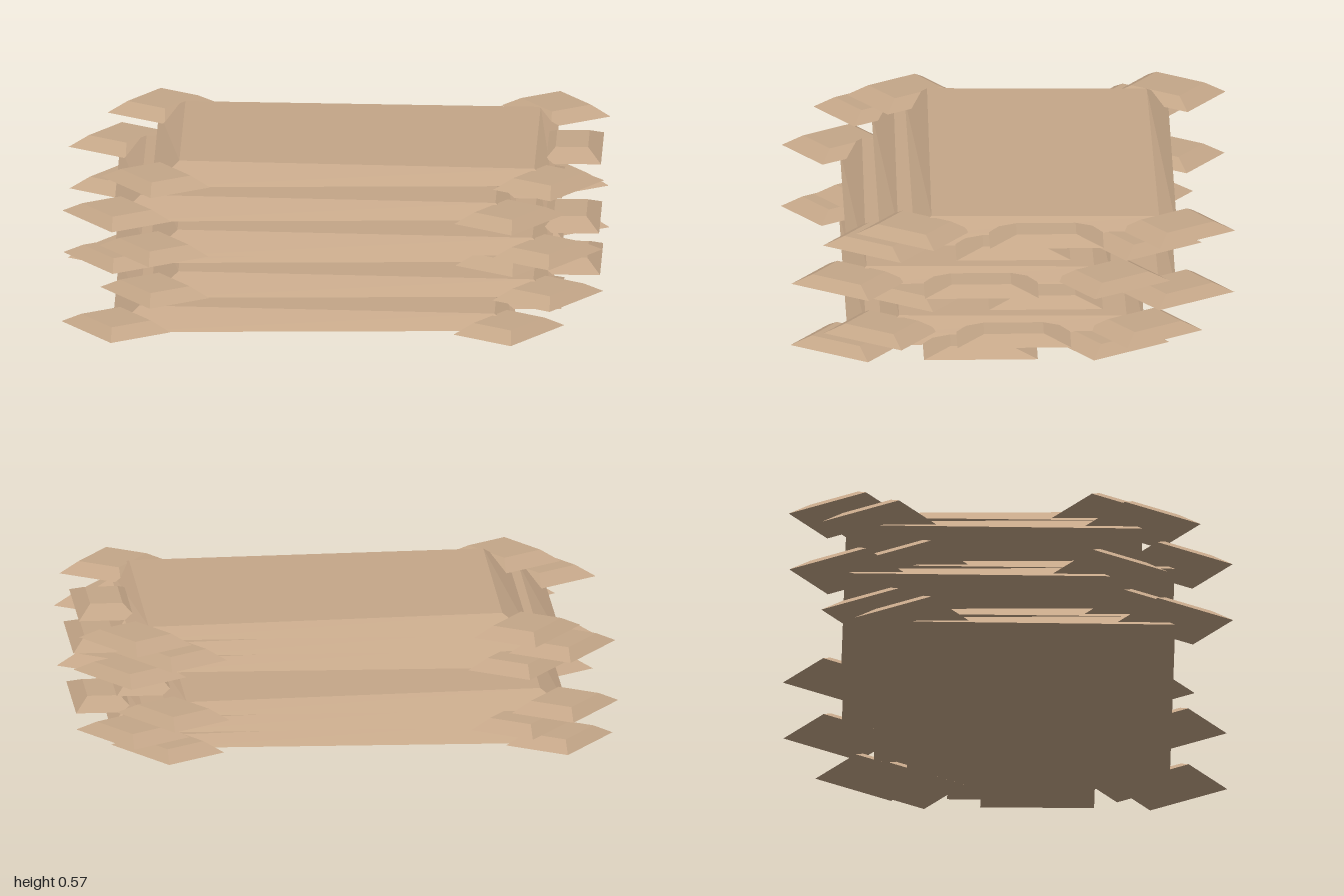
import * as THREE from 'three';

const hideTan = new THREE.MeshStandardMaterial({ color: 0xc4a688 });
hideTan.name = 'hideTan';

// Box with a narrower top; adjust(v, sx, sy, sz) may move each corner further.
function bevelSlab(name, w, h, d, insetX, insetZ, adjust) {
  let geo = new THREE.BoxGeometry(w, h, d);
  geo.translate(0, h / 2, 0);
  const p = geo.attributes.position;
  const v = new THREE.Vector3();
  for (let i = 0; i < p.count; i++) {
    v.fromBufferAttribute(p, i);
    const sx = Math.sign(v.x), sz = Math.sign(v.z), top = v.y > h / 2;
    if (top) {
      v.x -= sx * insetX;
      v.z -= sz * insetZ;
    }
    if (adjust) adjust(v, sx, top, sz);
    p.setXYZ(i, v.x, v.y, v.z);
  }
  geo = geo.toNonIndexed();
  geo.computeVertexNormals();
  const mesh = new THREE.Mesh(geo, hideTan);
  mesh.name = name;
  return mesh;
}

// The body thins toward the neck end and slightly toward the back.
function thinBody(v, sx, top, sz) {
  if (top) {
    v.y -= (sx > 0 ? 0.016 : 0) + (sz < 0 ? 0.009 : 0);
    if (sx > 0) { v.x += 0.03; v.z += sz * 0.015; }
  } else {
    v.y += (sx > 0 ? 0.017 : 0) + (sz < 0 ? 0.006 : 0);
  }
}

function createHide() {
  const hide = new THREE.Group();
  hide.add(bevelSlab('body', 1.48, 0.08, 0.97, 0.1, 0.08, thinBody));

  // Four leg flaps, turned across the corners
  for (const sx of [-1, 1]) {
    for (const sz of [-1, 1]) {
      const leg = bevelSlab((sz > 0 ? 'front' : 'back') + (sx > 0 ? 'Left' : 'Right') + 'Leg',
        0.34, 0.037, 0.26, 0.065, 0.045);
      leg.position.set(sx * 0.725, 0.021, sz * 0.485);
      leg.rotation.y = Math.atan2(sx * sz * 0.83, 0.56) + Math.PI;
      hide.add(leg);
    }
  }

  // Neck flap
  const neck = bevelSlab('neck', 0.22, 0.037, 0.42, 0.05, 0.1);
  neck.position.set(0.8, 0.021, 0);
  hide.add(neck);
  return hide;
}

export function createModel() {
  const stack = new THREE.Group();
  stack.name = 'hideStack';
  // Six hides, shifted a little from layer to layer
  for (let i = 0; i < 6; i++) {
    const hide = createHide();
    hide.name = 'hide' + (i + 1);
    hide.position.set(i % 2 ? 0.07 : -0.07, i * 0.0975, [0.12, 0, -0.12][i % 3]);
    stack.add(hide);
  }
  return stack;
}
